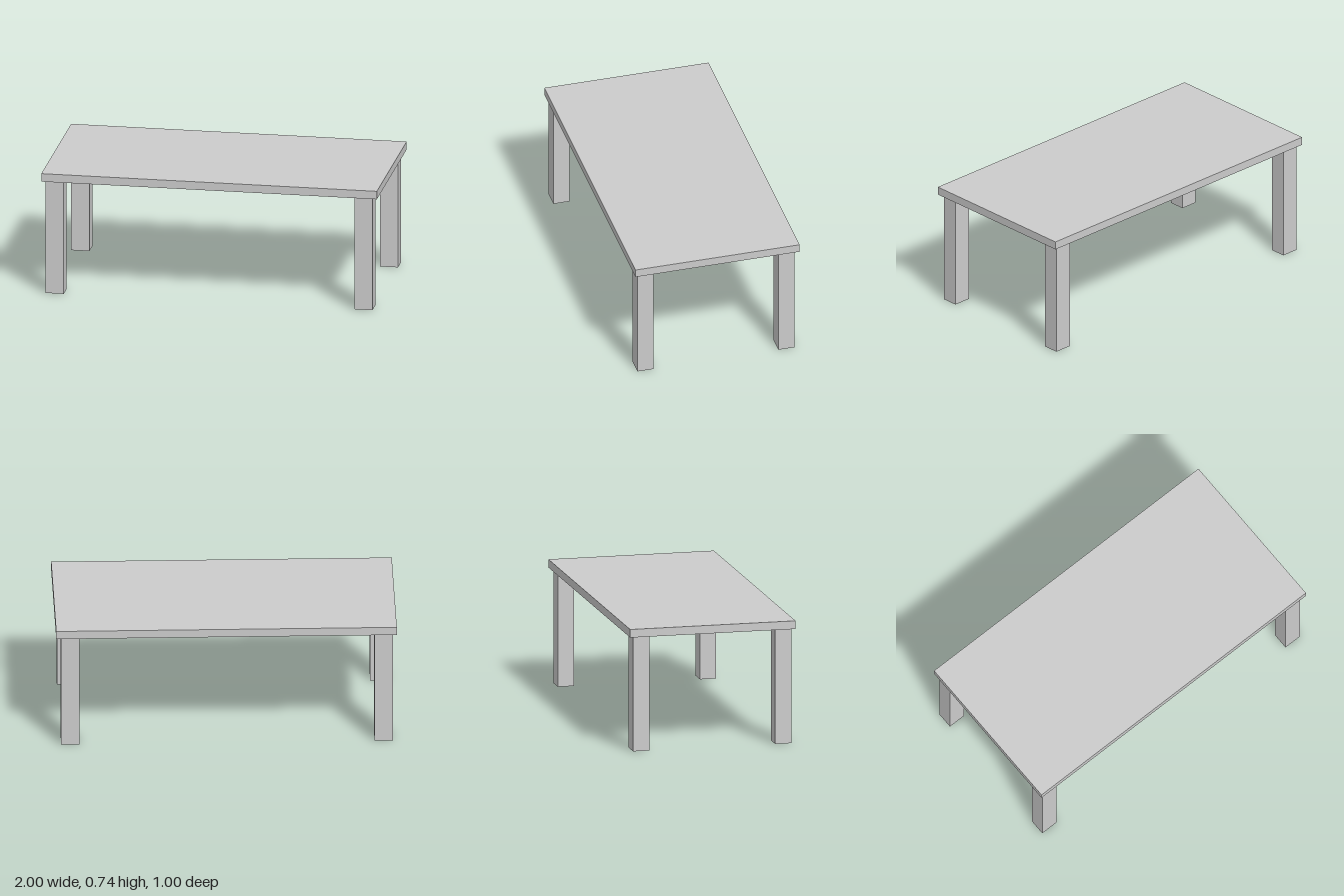
import * as THREE from 'three';

const TOP_Y = 0.738; // upper face of the table top
const LEG_H = 0.689; // underside of the table top

export function createModel() {
  const table = new THREE.Group();
  table.name = 'table';
  const material = new THREE.MeshStandardMaterial({ color: 0xcccccc, flatShading: true });

  function addBox(name, [w, h, d], [x, y, z]) {
    const mesh = new THREE.Mesh(new THREE.BoxGeometry(w, h, d), material);
    mesh.name = name;
    mesh.position.set(x, y, z);
    table.add(mesh);
  }

  // Flat rectangular slab
  addBox('tableTop', [2, TOP_Y - LEG_H, 1], [0, (TOP_Y + LEG_H) / 2, 0]);

  // Four square posts, slightly inset from the corners
  for (const [side, x] of [['Left', 0.916], ['Right', -0.924]]) {
    for (const [end, z] of [['front', 0.431], ['back', -0.428]]) {
      addBox(`${end}${side}Leg`, [0.108, LEG_H, 0.098], [x, LEG_H / 2, z]);
    }
  }

  return table;
}
